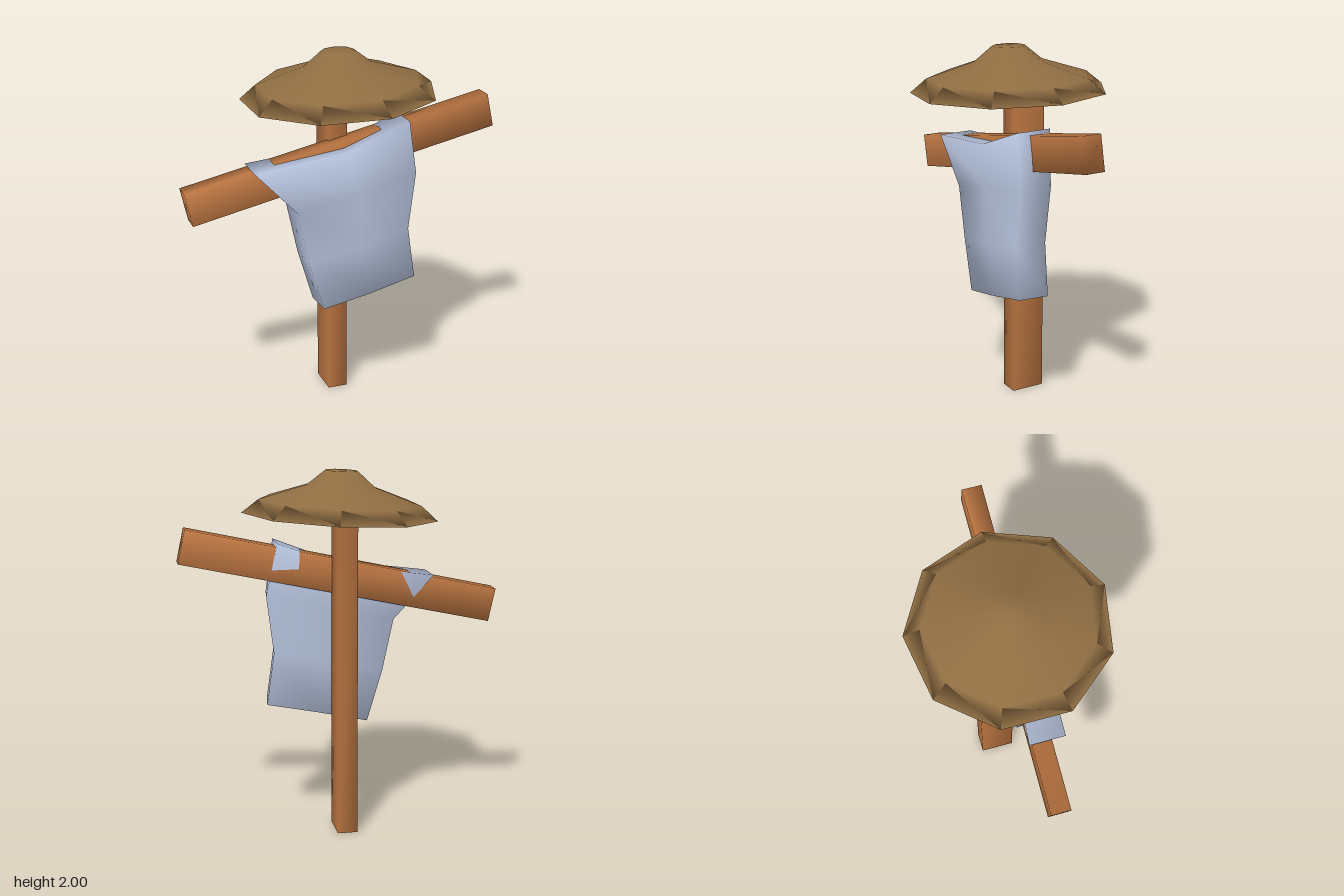
import * as THREE from 'three';
import { mergeVertices } from 'three/addons/utils/BufferGeometryUtils.js';

function material(name, color) {
  const m = new THREE.MeshStandardMaterial({ color });
  m.name = name;
  return m;
}

// Box whose corners share normals, for softly shaded timber
function softBox(w, h, d) {
  const box = new THREE.BoxGeometry(w, h, d);
  box.deleteAttribute('normal');
  box.deleteAttribute('uv');
  const g = mergeVertices(box);
  g.computeVertexNormals();
  return g;
}

// Closed skin over rings of six points: front left, mid, right, back right, mid, left
function loft(rings) {
  const n = 6, index = [];
  const quad = (a, b, c, d) => index.push(a, b, c, a, c, d);
  for (let r = 0; r < rings.length - 1; r++) {
    for (let i = 0; i < n; i++) {
      const j = (i + 1) % n, top = r * n, low = top + n;
      quad(top + i, low + i, low + j, top + j);
    }
  }
  quad(0, 1, 4, 5);
  quad(1, 2, 3, 4);
  const e = (rings.length - 1) * n;
  quad(e + 5, e + 4, e + 1, e);
  quad(e + 4, e + 3, e + 2, e + 1);
  const g = new THREE.BufferGeometry();
  g.setAttribute('position', new THREE.Float32BufferAttribute(rings.flat(2), 3));
  g.setIndex(index);
  g.computeVertexNormals();
  return g;
}

export function createModel() {
  const group = new THREE.Group();
  const wood = material('wood', 0xb87340);
  const straw = material('straw', 0x8f6d42);
  const cloth = material('cloth', 0xb3bfd9);

  const add = (name, geometry, mat, x = 0, y = 0, z = 0, tilt = 0) => {
    const mesh = new THREE.Mesh(geometry, mat);
    mesh.name = name;
    mesh.position.set(x, y, z);
    mesh.rotation.z = tilt;
    group.add(mesh);
  };

  // Upright post and slanted crossbar
  add('post', softBox(0.11, 1.76, 0.19), wood, -0.007, 0.88, -0.095);
  add('crossbar', softBox(1.765, 0.188, 0.108), wood, 0, 1.42, 0.028, 0.214);

  // Nine-sided hat, slightly tilted
  const profile = [[0, 0], [0.535, 0], [0.445, 0.075], [0.187, 0.16], [0.09, 0.241], [0, 0.243]]
    .map(([r, y]) => new THREE.Vector2(r, y));
  add('hat', new THREE.LatheGeometry(profile, 9, Math.PI / 2), straw, 0.003, 1.755, 0, 0.047);

  // Shirt rows: left x, y; middle x, y; right x, y; front edge z, front middle z, back edge z, back middle z
  const rows = [
    [-0.52, 1.415, 0, 1.48, 0.35, 1.615, 0.155, 0.165, -0.04, 0],
    [-0.30, 1.17, 0.05, 1.25, 0.41, 1.32, 0.16, 0.185, -0.012, -0.005],
    [-0.24, 0.88, 0.07, 0.94, 0.37, 1.0, 0.16, 0.187, -0.005, 0],
    [-0.155, 0.59, 0.12, 0.65, 0.41, 0.71, 0.165, 0.18, 0, 0.005],
  ];
  const rings = rows.map(([lx, ly, mx, my, rx, ry, fe, fm, be, bm], i) => {
    const inset = i === 0 ? 0 : 0.02;
    return [
      [lx + inset * 0.5, ly, fe], [mx, my, fm], [rx - inset, ry, fe],
      [rx, ry, be], [mx, my, bm], [lx, ly, be],
    ];
  });
  add('shirt', loft(rings), cloth);

  return group;
}
